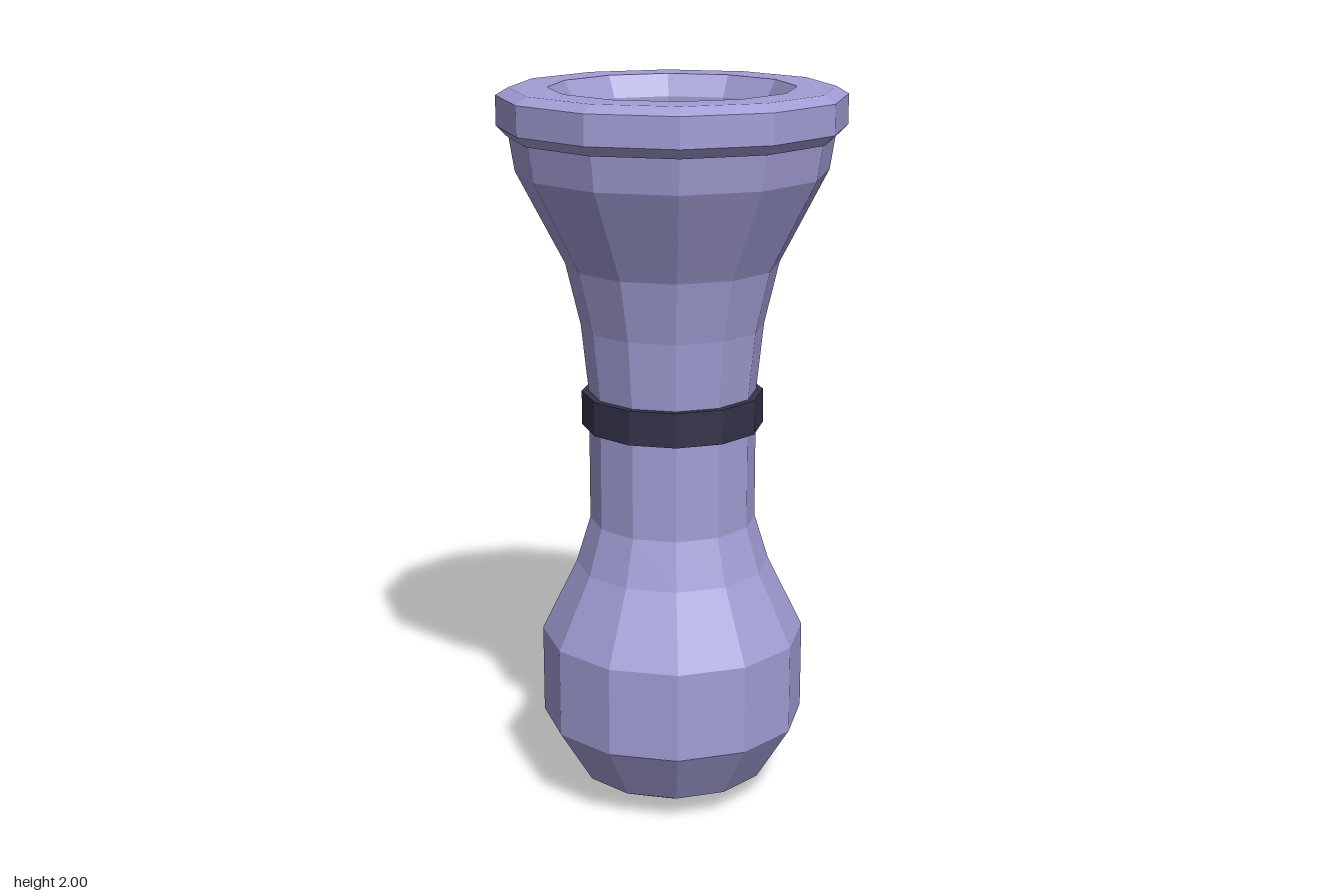
import * as THREE from 'three';

const SIDES = 12;

function material(name, color) {
  const m = new THREE.MeshStandardMaterial({ color, flatShading: true });
  m.name = name;
  return m;
}

// Faceted ring of revolution from [radius, height] pairs
function turned(name, profile, mat) {
  const points = profile.map(([r, y]) => new THREE.Vector2(r, y));
  const mesh = new THREE.Mesh(new THREE.LatheGeometry(points, SIDES), mat);
  mesh.name = name;
  return mesh;
}

export function createModel() {
  const group = new THREE.Group();
  group.name = 'vessel';
  const lilac = material('lilac', 0xa29ed6);
  const dark = material('dark slate', 0x34334a);

  // Bulb, neck and flared bell
  group.add(turned('body', [
    [0, 0], [0.13, 0], [0.27, 0.07], [0.368, 0.23], [0.368, 0.48],
    [0.27, 0.68], [0.23, 0.81], [0.23, 1.17], [0.25, 1.36],
    [0.29, 1.53], [0.42, 1.78], [0.435, 1.875],
  ], lilac));

  // Bevelled lip around the mouth
  group.add(turned('rim', [
    [0.425, 1.873], [0.44, 1.873], [0.467, 1.9], [0.467, 1.98],
    [0.433, 2], [0.33, 2],
  ], lilac));

  // Hollow inside the bell, narrowing to a flat floor in the neck
  group.add(turned('innerWall', [
    [0.33, 2], [0.3, 1.94], [0.3, 1.78], [0.24, 1.53], [0.21, 1.36],
    [0.178, 1.17], [0.175, 0.81], [0, 0.81],
  ], lilac));

  // Dark collar round the neck
  group.add(turned('neckBand', [
    [0.22, 1.08], [0.25, 1.08], [0.25, 1.175], [0.22, 1.175], [0.22, 1.08],
  ], dark));

  return group;
}
